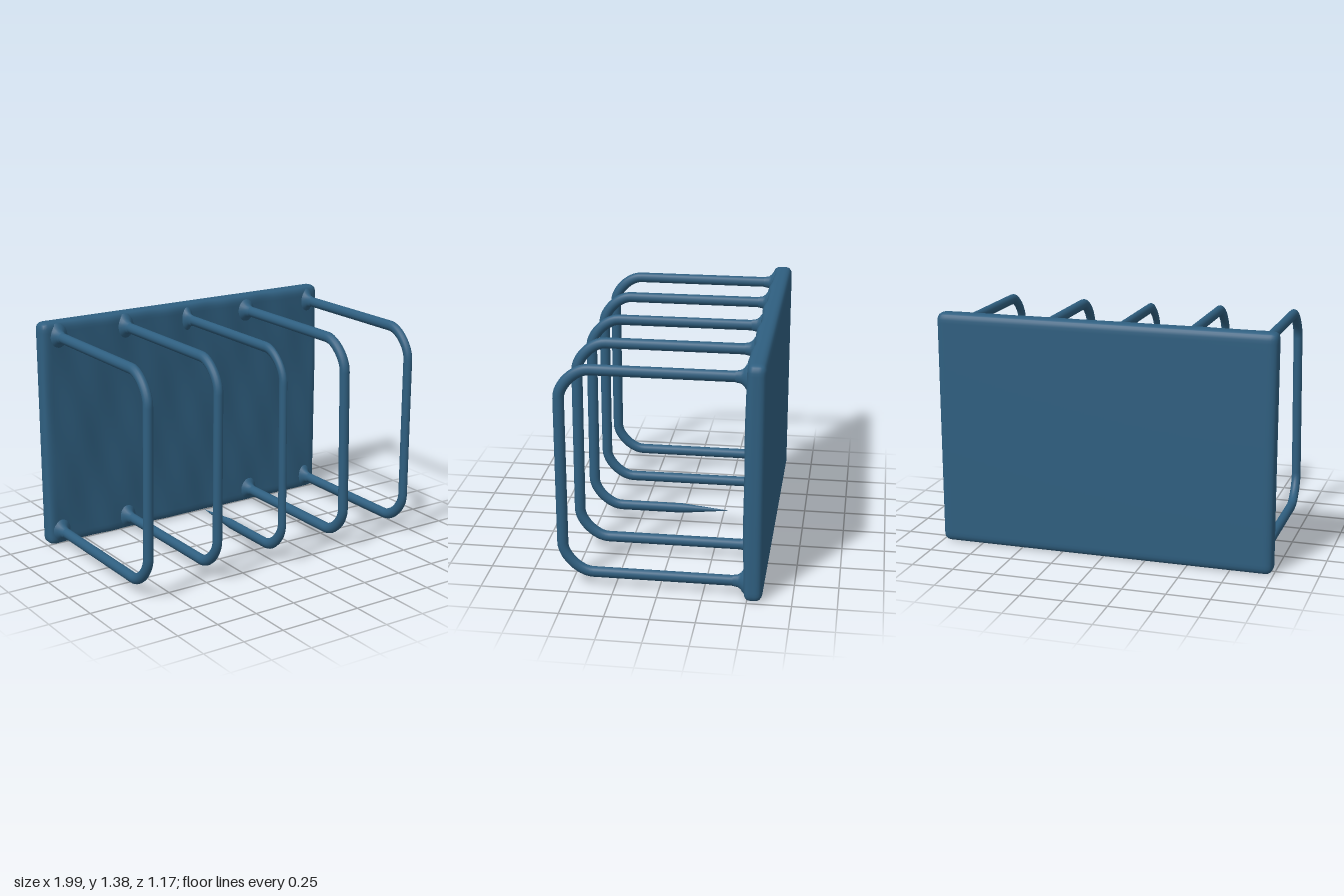
import * as THREE from 'three';
import { mergeVertices } from 'three/addons/utils/BufferGeometryUtils.js';

const BACK = -0.585, FRONT = -0.475; // panel faces along z

// Rounded slab with a gently rippled front face
function panelGeometry() {
  const size = new THREE.Vector3(1.99, 1.38, FRONT - BACK), r = 0.04;
  let g = new THREE.BoxGeometry(size.x, size.y, size.z, 100, 70, 10);
  g.deleteAttribute('uv');
  g.deleteAttribute('normal');
  g = mergeVertices(g);
  const inner = size.clone().multiplyScalar(0.5).subScalar(r);
  const low = inner.clone().negate();
  const pos = g.attributes.position, p = new THREE.Vector3(), c = new THREE.Vector3();
  for (let i = 0; i < pos.count; i++) {
    p.fromBufferAttribute(pos, i);
    c.copy(p).clamp(low, inner);
    p.sub(c).setLength(r).add(c);
    if (p.z > 0) {
      const fade = p.z / (size.z / 2);
      p.z += 0.005 * fade * (Math.sin(p.x * 14) * Math.cos(p.y * 5) + 0.5 * Math.sin(p.x * 31 + p.y * 9));
    }
    pos.setXYZ(i, p.x, p.y, p.z);
  }
  g.computeVertexNormals();
  return g.translate(0, 0.7, (FRONT + BACK) / 2);
}

// Rounded U path in the yz plane, leaning slightly sideways
function hoopPath(h) {
  const r = 0.17, z = h.front - 0.033, start = FRONT - 0.03;
  const v = (y, zz) => new THREE.Vector3(THREE.MathUtils.lerp(h.bottom, h.top, y / 1.4), y, zz);
  const yT = h.yTop - 0.03, yB = 0.098, k = 0.45 * r;
  const path = new THREE.CurvePath();
  path.add(new THREE.LineCurve3(v(yT, start), v(yT, z - r)));
  path.add(new THREE.CubicBezierCurve3(v(yT, z - r), v(yT, z - r + k), v(yT - r + k, z), v(yT - r, z)));
  path.add(new THREE.LineCurve3(v(yT - r, z), v(yB + r, z)));
  path.add(new THREE.CubicBezierCurve3(v(yB + r, z), v(yB + r - k, z), v(yB, z - r + k), v(yB, z - r)));
  path.add(new THREE.LineCurve3(v(yB, z - r), v(yB, h.end ?? start)));
  return path;
}

// Oval wire: the round tube is squeezed sideways, and tapers where it stops short
function hoopGeometry(h) {
  const path = hoopPath(h), rings = 140, sides = 14;
  const g = new THREE.TubeGeometry(path, rings, 0.032, sides, false);
  const pos = g.attributes.position, p = new THREE.Vector3();
  for (let i = 0; i <= rings; i++) {
    const c = path.getPointAt(i / rings);
    const taper = h.end === undefined ? 1 : Math.min(1, (rings - i) / 14);
    for (let j = 0; j <= sides; j++) {
      const n = i * (sides + 1) + j;
      p.fromBufferAttribute(pos, n).sub(c).multiplyScalar(taper);
      p.x *= h.width / 0.064;
      p.add(c);
      pos.setXYZ(n, p.x, p.y, p.z);
    }
  }
  return g;
}

// Flared weld where a wire meets the panel
function weldGeometry() {
  const profile = [[0.078, -0.012], [0.066, 0.004], [0.05, 0.014], [0.038, 0.03], [0.032, 0.06]];
  return new THREE.LatheGeometry(profile.map(([x, y]) => new THREE.Vector2(x, y)), 20).rotateX(Math.PI / 2);
}

export function createModel() {
  const group = new THREE.Group();
  const material = new THREE.MeshStandardMaterial({ color: 0x2f5f80 });
  const add = (name, geometry) => {
    const mesh = new THREE.Mesh(geometry, material);
    mesh.name = name;
    group.add(mesh);
    return mesh;
  };

  add('backPanel', panelGeometry());

  // The middle wire stops short of the panel at the bottom
  const hoops = [
    { top: -0.89, bottom: -0.915, width: 0.054, front: 0.585, yTop: 1.335 },
    { top: -0.44, bottom: -0.455, width: 0.05, front: 0.575, yTop: 1.335 },
    { top: -0.005, bottom: 0, width: 0.036, front: 0.57, yTop: 1.325, end: -0.3 },
    { top: 0.43, bottom: 0.45, width: 0.055, front: 0.57, yTop: 1.325 },
    { top: 0.905, bottom: 0.905, width: 0.044, front: 0.575, yTop: 1.33 },
  ];
  const weld = weldGeometry();
  for (const h of hoops) {
    add('wireHoop', hoopGeometry(h));
    const top = add('upperWeld', weld);
    top.position.set(h.top, h.yTop - 0.03, FRONT);
    top.scale.x = h.width / 0.064;
    if (h.end !== undefined) continue;
    const low = add('lowerWeld', weld);
    low.position.set(h.bottom, 0.098, FRONT);
    low.scale.x = h.width / 0.064;
  }
  return group;
}
